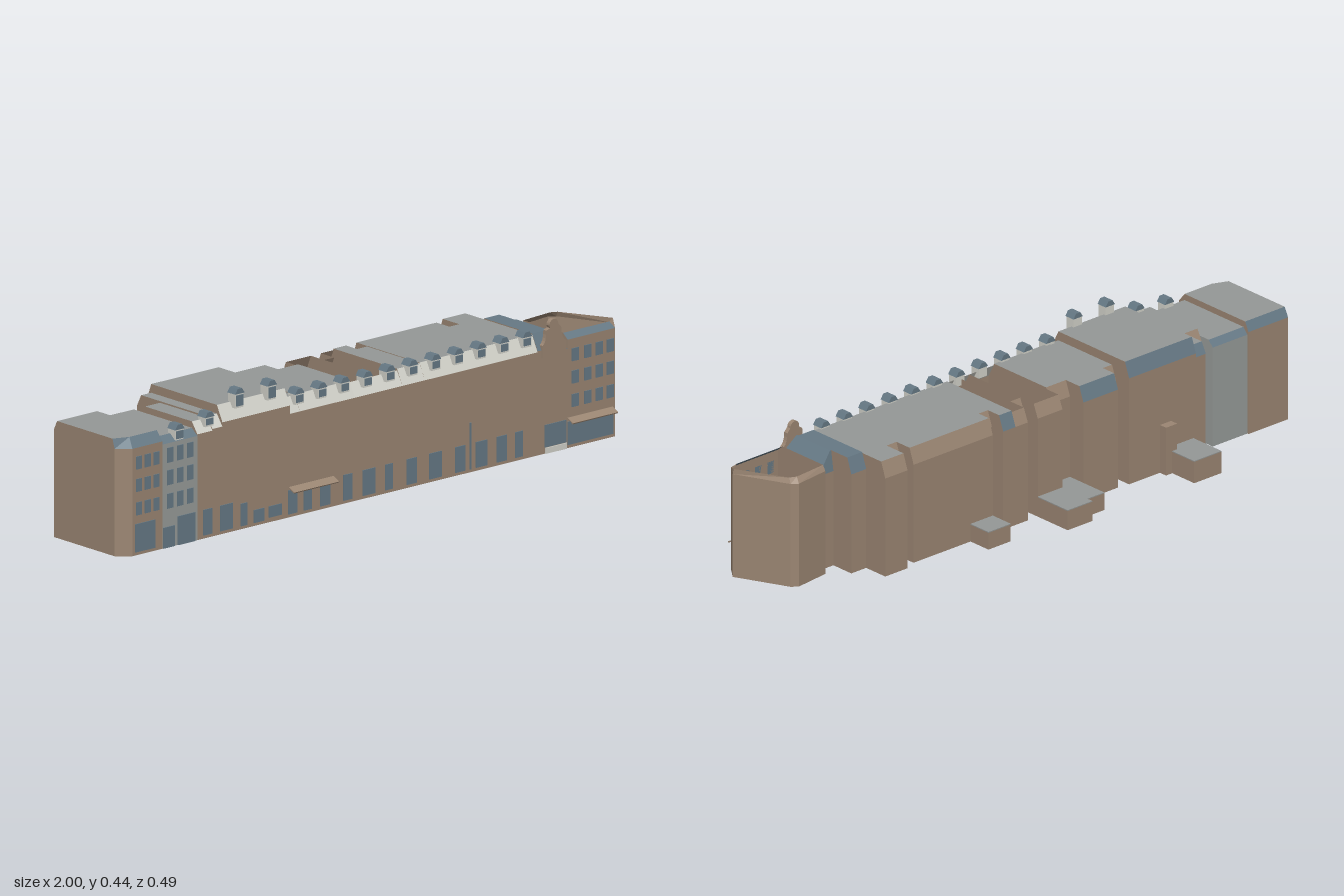
import * as THREE from 'three';

const mat = (name, color) => new THREE.MeshStandardMaterial({ name, color, flatShading: true, side: THREE.DoubleSide });

export function createModel() {
  const group = new THREE.Group();
  const brick = mat('brick', 0x9b8673);
  const roofGrey = mat('roofGrey', 0x959897);
  const paintGrey = mat('paintGrey', 0x979b99);
  const slate = mat('slate', 0x667985);
  const pale = mat('pale', 0xd2d2ca);

  const add = (name, geo, m) => {
    const mesh = new THREE.Mesh(geo, m);
    mesh.name = name;
    group.add(mesh);
    return mesh;
  };
  const box = (name, m, x0, x1, y0, y1, z0, z1) => {
    const g = new THREE.BoxGeometry(x1 - x0, y1 - y0, z1 - z0);
    g.translate((x0 + x1) / 2, (y0 + y1) / 2, (z0 + z1) / 2);
    return add(name, g, m);
  };

  // A footprint raised to the eave, then sloped in to the top outline; a null cap leaves it open
  const block = (name, base, eave, top, roofY, wall, slopes, cap) => {
    const pos = [], mats = [], geo = new THREE.BufferGeometry();
    const face = (pts, m) => {
      let k = mats.indexOf(m);
      if (k < 0) k = mats.push(m) - 1;
      geo.addGroup(pos.length / 3, (pts.length - 2) * 3, k);
      for (let i = 1; i < pts.length - 1; i++) pos.push(...pts[0], ...pts[i], ...pts[i + 1]);
    };
    const at = (list, y) => list.map(([x, z]) => [x, y, z]);
    const b = at(base, 0), e = at(base, eave), t = at(top, roofY);
    b.forEach((_, i) => {
      const j = (i + 1) % b.length;
      face([b[i], b[j], e[j], e[i]], wall);
      face([e[i], e[j], t[j], t[i]], slopes[i]);
    });
    face([...b].reverse(), wall);
    if (cap) face(t, cap);
    geo.setAttribute('position', new THREE.Float32BufferAttribute(pos, 3));
    geo.computeVertexNormals();
    add(name, geo, mats);
  };
  const F = 0.22;
  // Straight terrace unit with a front and a back roof slope
  const unit = (name, x0, x1, zb, eave, roofY, front, back, wall = brick, cap = roofGrey) => block(name,
    [[x0, F], [x1, F], [x1, zb], [x0, zb]], eave,
    [[x0, F - 0.025], [x1, F - 0.025], [x1, zb + 0.018], [x0, zb + 0.018]], roofY,
    wall, [front, wall, back, wall], cap);

  // Corner house with a cut front corner
  block('cornerHouse', [[-1, 0.185], [-0.96, F], [-0.84, F], [-0.84, -0.09], [-1, -0.09]], 0.335,
    [[-1, 0.175], [-0.95, 0.195], [-0.84, 0.195], [-0.84, -0.075], [-1, -0.075]], 0.365,
    brick, [slate, slate, brick, slate, brick], roofGrey);
  unit('paintedHouse', -0.84, -0.7, -0.085, 0.325, 0.345, slate, slate, paintGrey);

  // Main terrace: x0, x1, back z, eave, roof, back slope, roof surface
  [
    [-0.7, -0.64, -0.035, 0.33, 0.365, brick, roofGrey],
    [-0.64, -0.6, -0.12, 0.335, 0.37, slate, roofGrey],
    [-0.6, -0.33, -0.12, 0.348, 0.397, slate, roofGrey],
    [-0.33, -0.29, -0.062, 0.322, 0.368, brick, roofGrey],
    [-0.29, -0.15, -0.115, 0.322, 0.37, slate, roofGrey],
    [-0.15, -0.07, -0.055, 0.322, 0.37, brick, roofGrey],
    [-0.07, 0.03, -0.11, 0.322, 0.365, brick, null],
    [0.03, 0.07, -0.05, 0.322, 0.365, brick, null],
    [0.07, 0.12, -0.11, 0.322, 0.365, brick, null],
    [0.12, 0.17, -0.11, 0.322, 0.37, slate, roofGrey],
    [0.17, 0.21, -0.06, 0.322, 0.37, brick, roofGrey],
    [0.21, 0.53, -0.108, 0.322, 0.372, brick, roofGrey],
    [0.53, 0.57, -0.05, 0.322, 0.372, brick, roofGrey],
    [0.57, 0.66, -0.125, 0.322, 0.372, brick, roofGrey],
  ].forEach(([x0, x1, zb, eave, roof, back, cap], i) =>
    unit('terraceUnit' + (i + 1), x0, x1, zb, eave, roof, pale, back, brick, cap));

  // Slate roofed link stepping down to the open end house
  unit('linkHouse', 0.66, 0.72, -0.04, 0.325, 0.375, slate, slate, brick, slate);
  block('linkSlope', [[0.72, F], [0.78, F], [0.78, 0.04], [0.72, 0.04]], 0.31,
    [[0.72, 0.2], [0.725, 0.2], [0.725, 0.05], [0.72, 0.05]], 0.375,
    brick, [slate, slate, slate, brick], slate);
  block('endHouse', [[0.78, F], [0.97, F], [1, 0.18], [0.92, 0.01], [0.9, -0.005], [0.78, 0.01]], 0.338,
    [[0.78, 0.2], [0.965, 0.2], [0.998, 0.178], [0.917, 0.02], [0.895, 0.01], [0.78, 0.02]], 0.355,
    brick, [slate, brick, brick, brick, brick, brick], null);

  // Low rear extensions
  [
    [-0.59, -0.48, -0.245, 0.073], [-0.15, -0.07, -0.208, 0.058],
    [-0.07, 0.03, -0.243, 0.066], [0.21, 0.3, -0.188, 0.058],
  ].forEach(([x0, x1, zb, h], i) => {
    box('rearExtension' + (i + 1), brick, x0, x1, 0, h - 0.003, zb, -0.05);
    box('extensionRoof' + (i + 1), roofGrey, x0, x1, h - 0.003, h, zb, -0.05);
  });
  box('rearStack', brick, -0.5, -0.455, 0, 0.157, -0.147, -0.11);

  // Dormers: pale cheeks, slate pane and small pitched slate cap
  const dormer = (x, y0, y1) => {
    const w = 0.017, z0 = 0.186, z1 = 0.218;
    box('dormer', pale, x - w, x + w, y0, y1 - 0.016, z0, z1);
    box('dormerWindow', slate, x - w * 0.8, x + w * 0.8, y0 + 0.006, y1 - 0.02, z1, z1 + 0.003);
    const s = new THREE.Shape([[-w - 0.002, 0], [w + 0.002, 0], [w * 0.5, 0.016], [-w * 0.5, 0.016]]
      .map(p => new THREE.Vector2(...p)));
    const g = new THREE.ExtrudeGeometry(s, { depth: 0.036, bevelEnabled: false });
    g.translate(x, y1 - 0.016, z0 - 0.002);
    add('dormerRoof', g, slate);
  };
  dormer(-0.77, 0.325, 0.375);
  dormer(-0.65, 0.345, 0.39);
  dormer(-0.53, 0.38, 0.44);
  dormer(-0.4, 0.38, 0.44);
  for (let i = 0; i < 11; i++) dormer(-0.29 + i * 0.091, 0.345, 0.393);

  // Curved gable
  const gable = new THREE.Shape();
  gable.moveTo(0.675, 0.3);
  gable.lineTo(0.675, 0.34);
  gable.quadraticCurveTo(0.69, 0.35, 0.69, 0.385);
  gable.lineTo(0.705, 0.39);
  gable.absarc(0.72, 0.398, 0.018, Math.PI, 0, true);
  gable.lineTo(0.75, 0.385);
  gable.quadraticCurveTo(0.75, 0.35, 0.77, 0.34);
  gable.lineTo(0.77, 0.3);
  const gableGeo = new THREE.ExtrudeGeometry(gable, { depth: 0.014, bevelEnabled: false, curveSegments: 5 });
  add('gable', gableGeo.translate(0, 0, 0.212), brick);

  // Upper windows
  const pane = (x, w, y0, y1) => box('window', slate, x - w / 2, x + w / 2, y0, y1, F, F + 0.003);
  for (const y of [0.145, 0.218, 0.288]) {
    for (const x of [-0.935, -0.9, -0.865]) pane(x, 0.022, y - 0.02, y + 0.02);
    for (const x of [-0.81, -0.77, -0.73]) pane(x, 0.025, y - 0.023, y + 0.023);
    for (const x of [0.81, 0.86, 0.905, 0.95]) pane(x, 0.027, y - 0.02, y + 0.02);
  }
  // Shop fronts: centre x, width, bottom, top
  [
    [-0.91, 0.08, 0.01, 0.098], [-0.815, 0.045, 0, 0.065], [-0.745, 0.07, 0, 0.09],
    [-0.66, 0.035, 0.01, 0.09], [-0.585, 0.05, 0.01, 0.09], [-0.515, 0.025, 0.01, 0.08],
    [-0.455, 0.04, 0.01, 0.05], [-0.39, 0.05, 0.015, 0.05], [-0.32, 0.035, 0.01, 0.085],
    [-0.26, 0.03, 0.01, 0.075], [-0.19, 0.04, 0.01, 0.075], [-0.1, 0.035, 0.01, 0.09],
    [-0.015, 0.05, 0.01, 0.09], [0.065, 0.03, 0.01, 0.09], [0.155, 0.04, 0.01, 0.09],
    [0.25, 0.05, 0.01, 0.09], [0.35, 0.04, 0.01, 0.09], [0.435, 0.045, 0.01, 0.09],
    [0.515, 0.04, 0.01, 0.09], [0.585, 0.03, 0.01, 0.09], [0.73, 0.085, 0.02, 0.09],
    [0.87, 0.18, 0.01, 0.082],
  ].forEach(p => pane(...p));
  box('entranceStep', pale, 0.69, 0.775, 0, 0.018, F, F + 0.004);
  box('drainPipe', slate, 0.388, 0.392, 0.01, 0.155, F, F + 0.004);

  // Sloping awnings
  const awning = (x0, x1, m) => {
    const g = new THREE.BoxGeometry(x1 - x0, 0.004, 0.028);
    g.rotateX(0.45);
    g.translate((x0 + x1) / 2, 0.087, 0.232);
    add('awning', g, m);
  };
  awning(-0.335, -0.155, brick);
  awning(0.78, 0.96, brick);
  return group;
}
